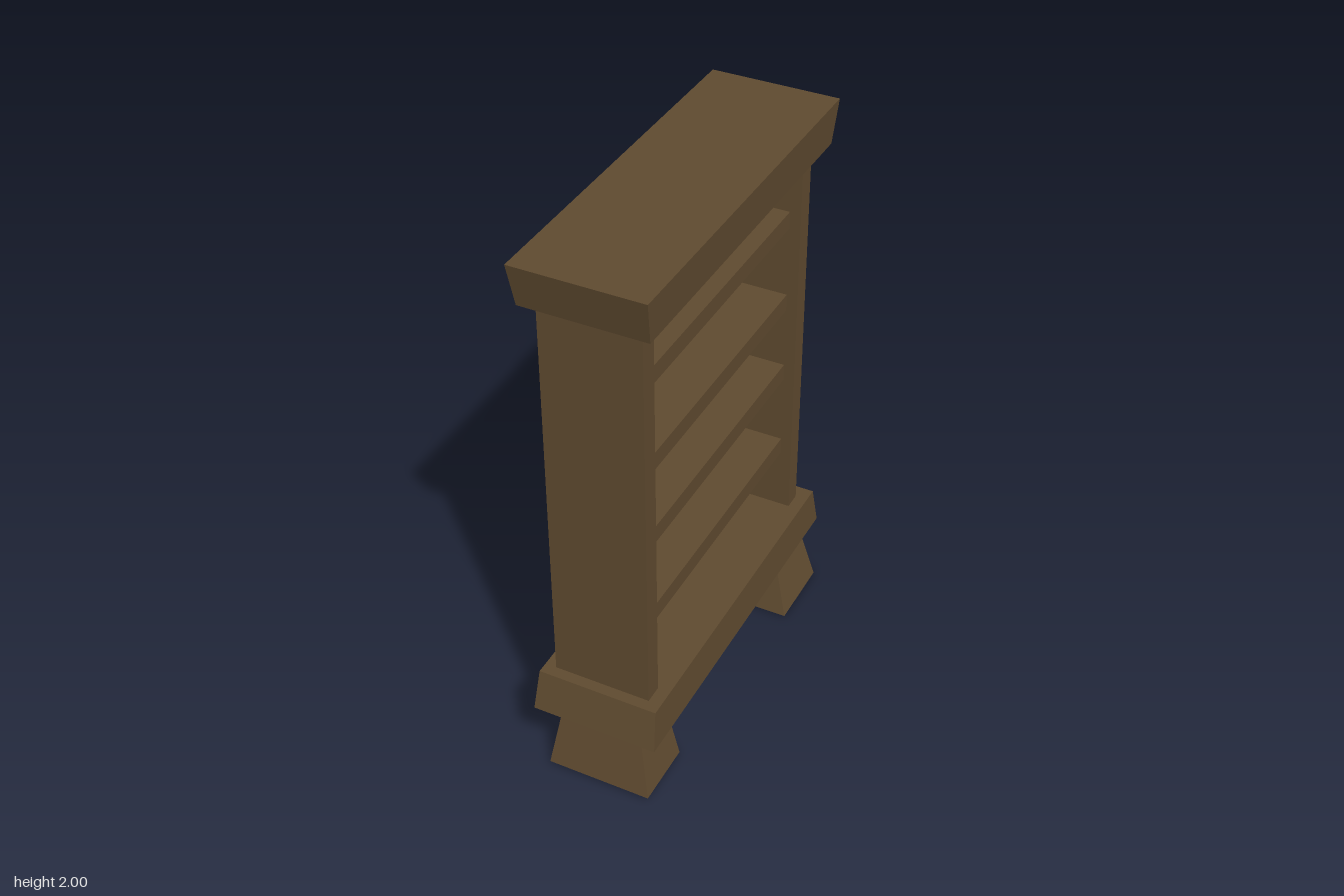
import * as THREE from 'three';

const wood = new THREE.MeshStandardMaterial({ color: 0x604b30 });
wood.name = 'dark wood';

// Box whose bottom and top rectangles [x0, x1, z0, z1] may differ
function taperedBox(name, y0, y1, bottom, top = bottom) {
  const geometry = new THREE.BoxGeometry(1, 1, 1).toNonIndexed();
  const p = geometry.attributes.position;
  for (let i = 0; i < p.count; i++) {
    const upper = p.getY(i) > 0;
    const r = upper ? top : bottom;
    p.setXYZ(i, p.getX(i) > 0 ? r[1] : r[0], upper ? y1 : y0, p.getZ(i) > 0 ? r[3] : r[2]);
  }
  geometry.computeVertexNormals();
  const mesh = new THREE.Mesh(geometry, wood);
  mesh.name = name;
  return mesh;
}

export function createModel() {
  const group = new THREE.Group();
  group.name = 'bookshelf';

  // Flared cap and plinth
  const narrow = [-0.22, 0.21, -0.632, 0.632];
  const wide = [-0.23, 0.22, -0.66, 0.663];
  group.add(taperedBox('topCap', 1.85, 2, narrow, wide));
  group.add(taperedBox('plinth', 0.255, 0.402, wide, narrow));

  // Upright side panels
  group.add(taperedBox('frontPanel', 0.4, 1.852, [-0.18, 0.165, 0.526, 0.592]));
  group.add(taperedBox('backPanel', 0.4, 1.852, [-0.18, 0.165, -0.578, -0.514]));

  // Unevenly spaced shelves, set in from the panel edges
  const shelves = new THREE.Group();
  shelves.name = 'shelves';
  for (const y of [0.635, 0.958, 1.248, 1.571]) {
    shelves.add(taperedBox('shelf', y, y + 0.064, [-0.135, 0.125, -0.516, 0.528]));
  }
  group.add(shelves);

  // Splayed feet, the back one slightly larger
  group.add(taperedBox('frontFoot', 0.01, 0.258, [-0.185, 0.19, 0.421, 0.656], [-0.148, 0.137, 0.436, 0.606]));
  group.add(taperedBox('backFoot', 0, 0.258, [-0.222, 0.227, -0.642, -0.37], [-0.165, 0.15, -0.622, -0.426]));

  return group;
}
